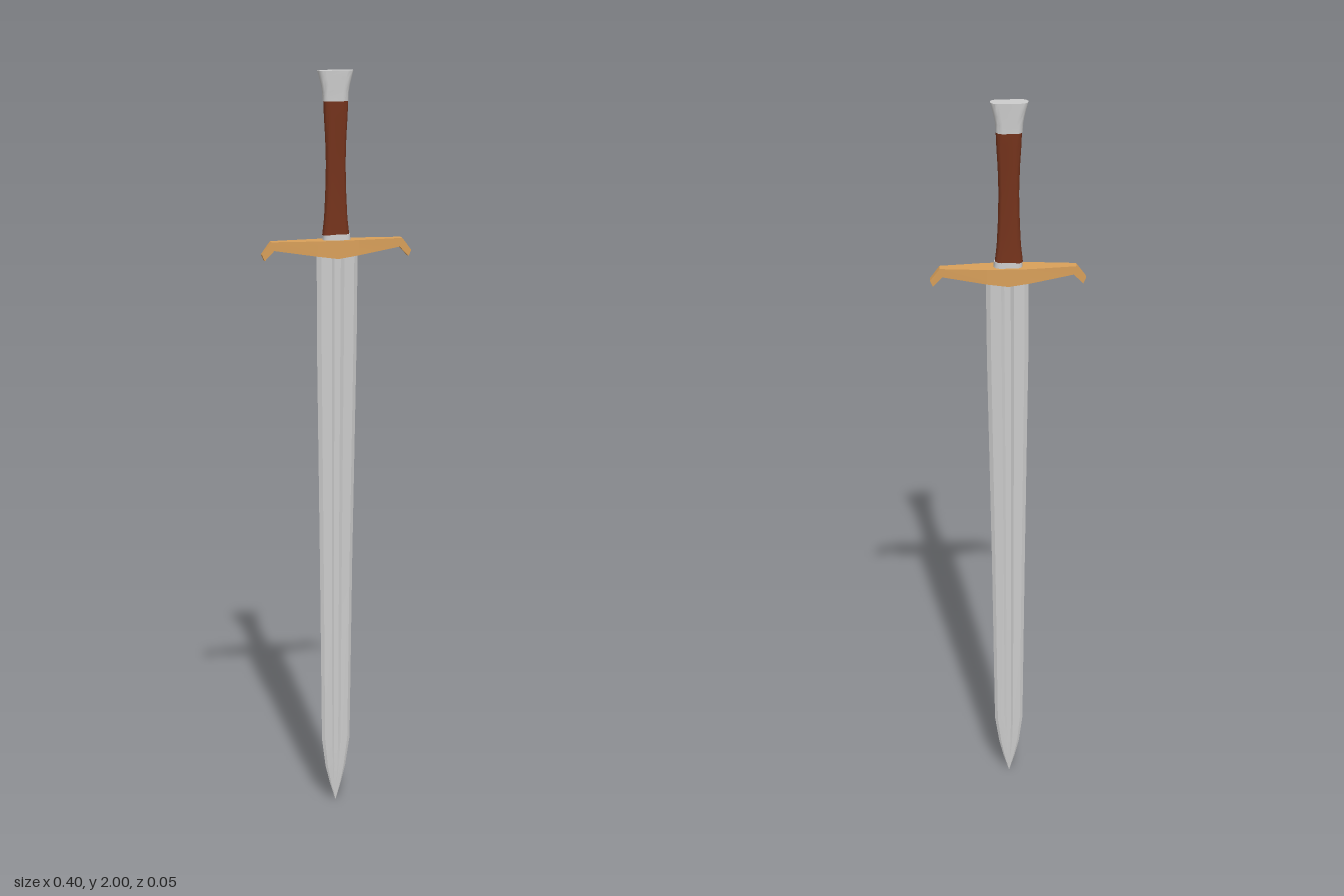
import * as THREE from 'three';
import { toCreasedNormals } from 'three/addons/utils/BufferGeometryUtils.js';

const steel = new THREE.MeshStandardMaterial({ color: 0xcccccc });
const brass = new THREE.MeshStandardMaterial({ color: 0xd9a05a });
const leather = new THREE.MeshStandardMaterial({ color: 0x74331c });

// Skin closed rings of [x, y, z] points, with a fan cap on both ends.
function loft(rings, crease) {
  const n = rings[0].length;
  const points = rings.flat();
  const index = [];
  for (let i = 0; i < rings.length - 1; i++) {
    for (let j = 0; j < n; j++) {
      const a = i * n + j, b = i * n + (j + 1) % n;
      index.push(a, b, b + n, a, b + n, a + n);
    }
  }
  [0, rings.length - 1].forEach((r, end) => {
    const centre = [0, 1, 2].map(k => rings[r].reduce((s, p) => s + p[k], 0) / n);
    const c = points.push(centre) - 1;
    for (let j = 0; j < n; j++) {
      const a = r * n + j, b = r * n + (j + 1) % n;
      if (end) index.push(c, a, b); else index.push(c, b, a);
    }
  });
  const geometry = new THREE.BufferGeometry();
  geometry.setAttribute('position', new THREE.Float32BufferAttribute(points.flat(), 3));
  geometry.setIndex(index);
  return toCreasedNormals(geometry, crease);
}

// Stadium outline: two half circles joined by straight sides.
function stadium(y, hw, hz, cx = 0) {
  const ring = [], steps = 8;
  for (const side of [1, -1]) {
    for (let i = 0; i <= steps; i++) {
      const a = -Math.PI / 2 + Math.PI * i / steps;
      ring.push([cx + side * (hw - hz + hz * Math.cos(a)), y, -side * hz * Math.sin(a)]);
    }
  }
  return ring;
}

// Blade outline: sharp edges, broad bevels and a sunken central fuller.
function bladeRing([y, hw, ht, groove, cx]) {
  const half = [[1, 0], [0.8, 0.7], [0.3, 1], [0.15, 1 - groove]];
  const back = [...half, ...half.slice().reverse().map(([x, t]) => [-x, t])];
  const front = back.slice(1, -1).reverse().map(([x, t]) => [x, -t]);
  return [...back, ...front].map(([x, t]) => [cx + x * hw, y, -t * ht]);
}

function part(name, geometry, material) {
  const mesh = new THREE.Mesh(geometry, material);
  mesh.name = name;
  return mesh;
}

export function createModel() {
  const group = new THREE.Group();
  group.name = 'sword';

  // Blade, from the point up into the guard: y, half width, half thickness, groove, x offset
  const blade = [
    [0, 0.0008, 0.0006, 0, -0.003],
    [0.05, 0.016, 0.004, 0.1, -0.003],
    [0.1, 0.028, 0.006, 0.3, -0.003],
    [0.18, 0.039, 0.008, 0.5, -0.002],
    [0.7, 0.045, 0.010, 0.5, -0.001],
    [1.3, 0.054, 0.0125, 0.5, 0.001],
    [1.54, 0.055, 0.013, 0.5, 0.002],
  ].map(bladeRing);
  group.add(part('blade', loft(blade, 0.2), steel));

  // Guard, lofted along x: x at top, x at bottom, top y, bottom y, half depth
  const rightHalf = [
    [0.055, 0.055, 1.563, 1.523, 0.024],
    [0.175, 0.168, 1.563, 1.54, 0.011],
    [0.2, 0.193, 1.53, 1.514, 0.009],
  ];
  const leftHalf = rightHalf.map(([a, b, ...rest]) => [-a, -b, ...rest]).reverse();
  const guard = [...leftHalf, [0, 0, 1.563, 1.515, 0.024], ...rightHalf]
    .map(([xt, xb, top, low, z]) => [[xb, low, -z], [xt, top, -z], [xt, top, z], [xb, low, z]]);
  group.add(part('guard', loft(guard, 0.1), brass));

  // Collar between guard and grip
  group.add(part('collar', loft([stadium(1.555, 0.038, 0.018), stadium(1.578, 0.036, 0.017)], 0.6), steel));

  // Waisted leather grip
  const grip = [
    [1.576, 0.036, 0.017], [1.62, 0.031, 0.015], [1.68, 0.028, 0.0135], [1.76, 0.026, 0.013],
    [1.83, 0.028, 0.014], [1.88, 0.031, 0.0155], [1.926, 0.033, 0.016],
  ].map(([y, hw, hz]) => stadium(y, hw, hz, -0.002));
  group.add(part('grip', loft(grip, 0.6), leather));

  // Flared pommel with a flat top
  const pommel = [
    [1.922, 0.034, 0.0175], [1.945, 0.035, 0.0175], [1.965, 0.039, 0.0178], [1.985, 0.044, 0.018], [2, 0.048, 0.018],
  ].map(([y, hw, hz]) => stadium(y, hw, hz, -0.003));
  group.add(part('pommel', loft(pommel, 0.6), steel));

  return group;
}
